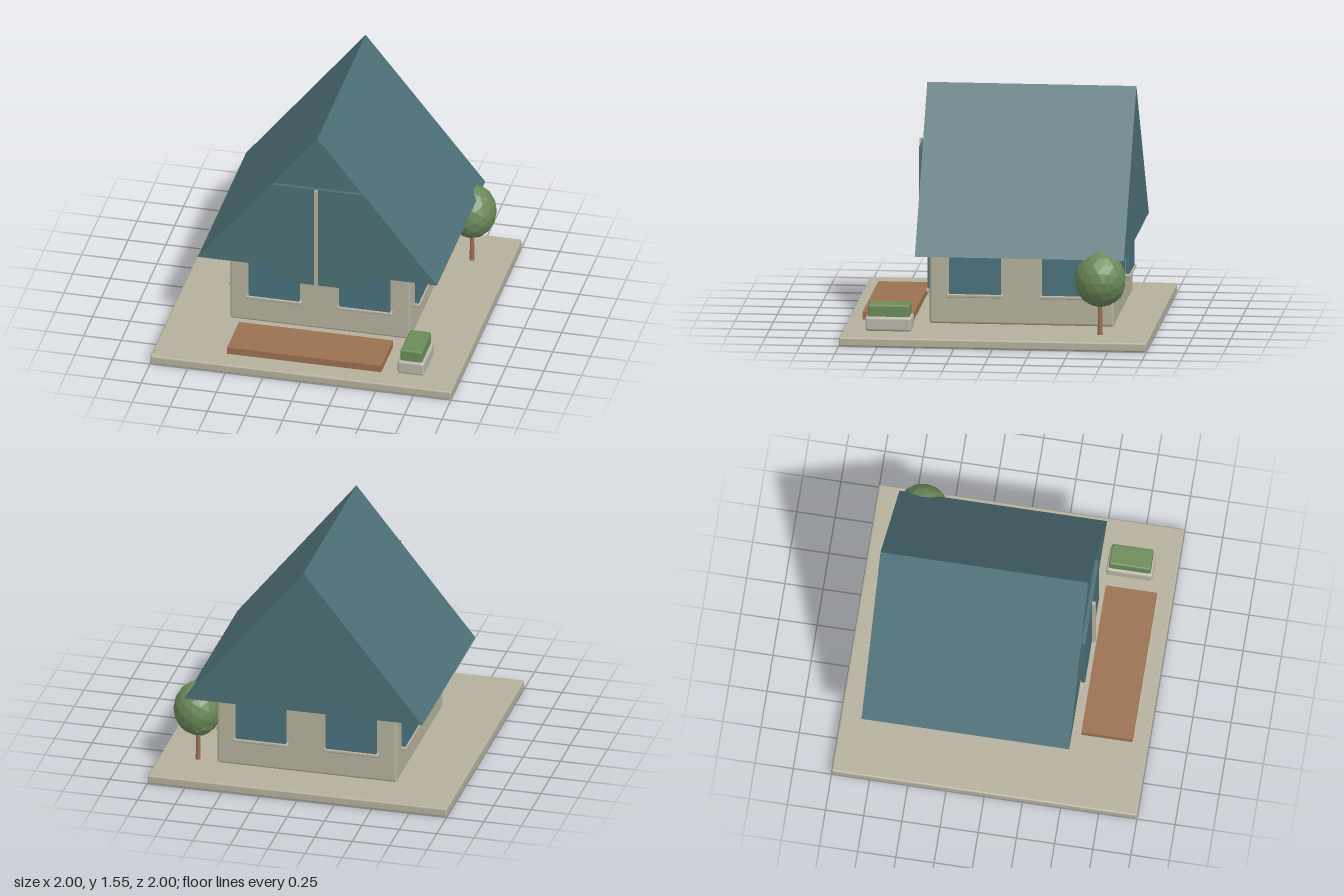
import * as THREE from 'three';
import { RoundedBoxGeometry } from 'three/addons/geometries/RoundedBoxGeometry.js';

const mat = (name, color, flatShading = false) => {
  const m = new THREE.MeshStandardMaterial({ color, flatShading });
  m.name = name;
  return m;
};

export function createModel() {
  const stone = mat('warm stone', 0xb5b09c);
  const concrete = mat('pale concrete', 0xb8b4a6);
  const slate = mat('teal slate', 0x4c6f76);
  const glass = mat('teal glass', 0x48707c);
  const timber = mat('timber', 0x9a7050);
  const hedgeGreen = mat('hedge green', 0x6c8a58);
  const leafGreen = mat('leaf green', 0x6a8858, true);

  const house = new THREE.Group();
  house.name = 'house';

  const add = (parent, name, geometry, material, x = 0, y = 0, z = 0) => {
    const mesh = new THREE.Mesh(geometry, material);
    mesh.name = name;
    mesh.position.set(x, y, z);
    parent.add(mesh);
    return mesh;
  };

  // Box given by its min and max on each axis; r > 0 rounds the edges
  const box = (parent, name, material, [x0, x1], [y0, y1], [z0, z1], r = 0) => {
    const size = [x1 - x0, y1 - y0, z1 - z0];
    const geometry = r ? new RoundedBoxGeometry(...size, 3, r) : new THREE.BoxGeometry(...size);
    return add(parent, name, geometry, material, (x0 + x1) / 2, (y0 + y1) / 2, (z0 + z1) / 2);
  };

  // Ground slab, walls and deck
  box(house, 'groundSlab', stone, [-1, 1], [0, 0.06], [-1, 1], 0.012);
  box(house, 'walls', stone, [-0.6, 0.6], [0.083, 0.6], [-0.75, 0.45], 0.018);
  box(house, 'deck', timber, [-0.512, 0.512], [0.083, 0.13], [0.56, 0.895]);

  // Gabled roof: a solid triangular prism
  const gable = new THREE.Shape([
    new THREE.Vector2(-0.795, 0.56),
    new THREE.Vector2(0.795, 0.56),
    new THREE.Vector2(0, 1.555),
  ]);
  const roof = new THREE.ExtrudeGeometry(gable, { depth: 1.36, bevelEnabled: false });
  add(house, 'roof', roof, slate, 0, 0, -0.835);

  // Tall gable panel with a central batten
  box(house, 'gablePanel', slate, [-0.292, 0.292], [0.468, 1.185], [0.522, 0.55]);
  box(house, 'gableBatten', stone, [-0.01, 0.01], [0.468, 1.185], [0.548, 0.573]);

  // Two windows with sills on each of the four walls
  for (let side = 0; side < 4; side++) {
    const wall = new THREE.Group();
    wall.name = 'windowWall';
    wall.position.z = -0.15;
    wall.rotation.y = side * Math.PI / 2;
    for (const x of [-0.302, 0.302]) {
      box(wall, 'window', glass, [x - 0.168, x + 0.168], [0.275, 0.59], [0.58, 0.626]);
      box(wall, 'windowSill', stone, [x - 0.184, x + 0.184], [0.263, 0.285], [0.58, 0.636], 0.006);
    }
    house.add(wall);
  }

  // Planter with a clipped hedge
  box(house, 'planter', concrete, [0.607, 0.785], [0.06, 0.155], [0.548, 0.85], 0.018);
  box(house, 'hedge', hedgeGreen, [0.625, 0.768], [0.14, 0.232], [0.563, 0.835], 0.012);

  // Tree
  const tree = new THREE.Group();
  tree.name = 'tree';
  tree.position.set(0.745, 0, -0.675);
  add(tree, 'trunk', new THREE.CylinderGeometry(0.012, 0.017, 0.24, 8), timber, 0, 0.18, 0);
  const crown = add(tree, 'crown', new THREE.IcosahedronGeometry(0.168, 2), leafGreen, 0, 0.425, 0);
  crown.scale.set(0.95, 1.08, 1);
  add(tree, 'lowerFoliage', new THREE.IcosahedronGeometry(0.11, 1), leafGreen, -0.02, 0.365, -0.04);
  house.add(tree);

  return house;
}
